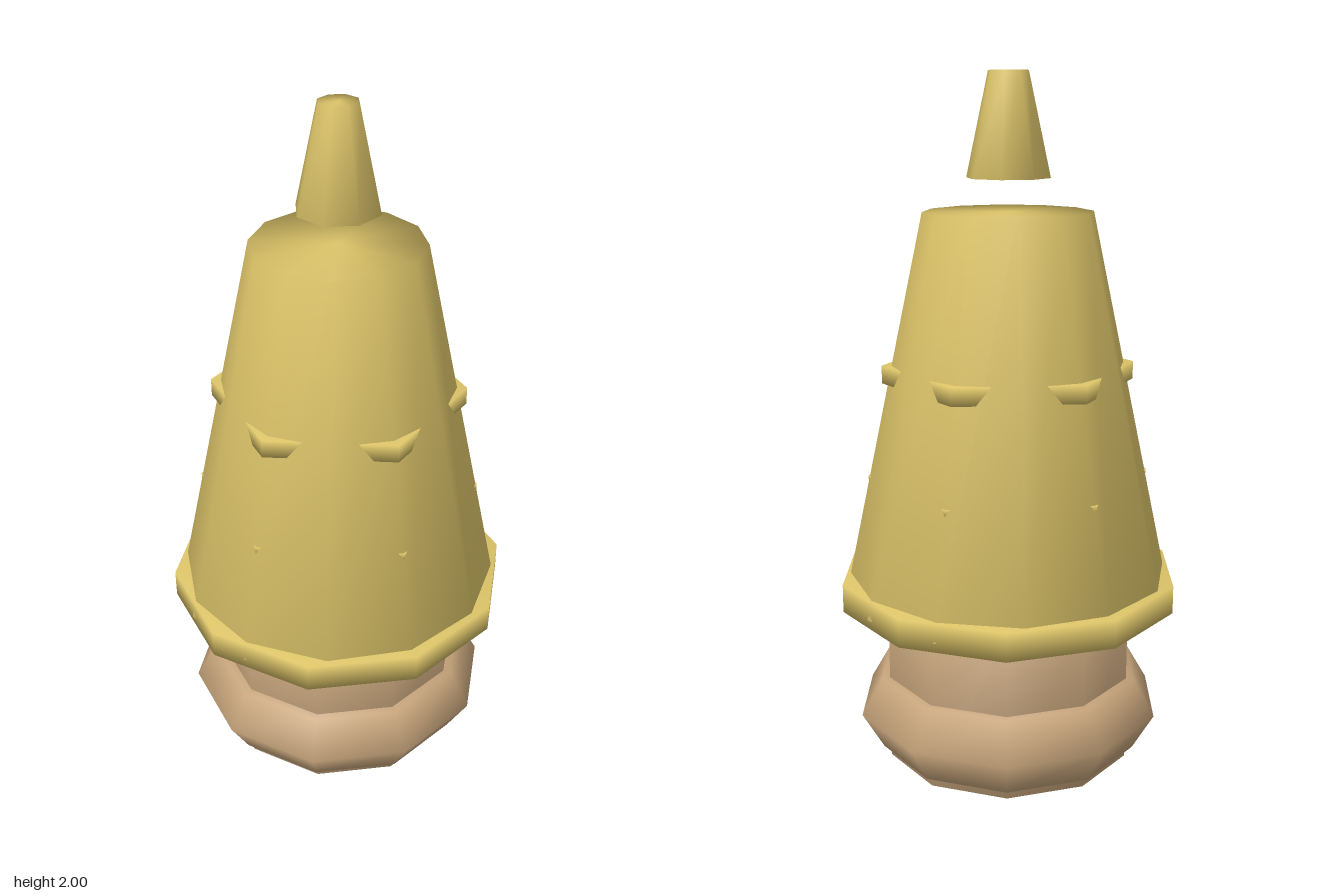
import * as THREE from 'three';
import { mergeVertices } from 'three/addons/utils/BufferGeometryUtils.js';

const brass = new THREE.MeshStandardMaterial({ color: 0xdcc469 });
brass.name = 'brass';
const tan = new THREE.MeshStandardMaterial({ color: 0xc6a47b });
tan.name = 'tan';

// Weld all vertices so shading runs smoothly over every edge
function weld(geometry) {
  geometry.deleteAttribute('normal');
  geometry.deleteAttribute('uv');
  const welded = mergeVertices(geometry, 1e-4);
  welded.computeVertexNormals();
  return welded;
}

export function createModel() {
  const group = new THREE.Group();

  function add(name, geometry, material) {
    const mesh = new THREE.Mesh(weld(geometry), material);
    mesh.name = name;
    group.add(mesh);
  }

  // Capped frustum between two heights
  function frustum(name, rTop, rBottom, y0, y1, sides, material) {
    const g = new THREE.CylinderGeometry(rTop, rBottom, y1 - y0, sides);
    g.translate(0, (y0 + y1) / 2, 0);
    add(name, g, material);
  }

  // Shallow rounded underside
  const profile = [[0, 0], [0.215, 0.03], [0.305, 0.065], [0.33, 0.1]];
  add('baseDome', new THREE.LatheGeometry(profile.map(p => new THREE.Vector2(...p)), 10), tan);

  // Neck and the bulging ring around it
  frustum('neck', 0.358, 0.358, 0.062, 0.56, 10, tan);
  const ring = new THREE.TorusGeometry(0.318, 0.124, 6, 10);
  ring.rotateX(Math.PI / 2).rotateY(Math.PI / 2).translate(0, 0.2, 0);
  add('baseRing', ring, tan);

  // Brim and tapered body
  frustum('brim', 0.487, 0.487, 0.525, 0.605, 10, brass);
  frustum('body', 0.235, 0.467, 0.55, 1.63, 12, brass);

  // Hexagonal bands whose corners stand proud of the body
  frustum('lowerBand', 0.397, 0.397, 0.87, 0.895, 6, brass);
  frustum('upperBand', 0.353, 0.353, 1.16, 1.21, 6, brass);

  // Floating tip
  frustum('tip', 0.055, 0.116, 1.72, 2.0, 8, brass);

  return group;
}
